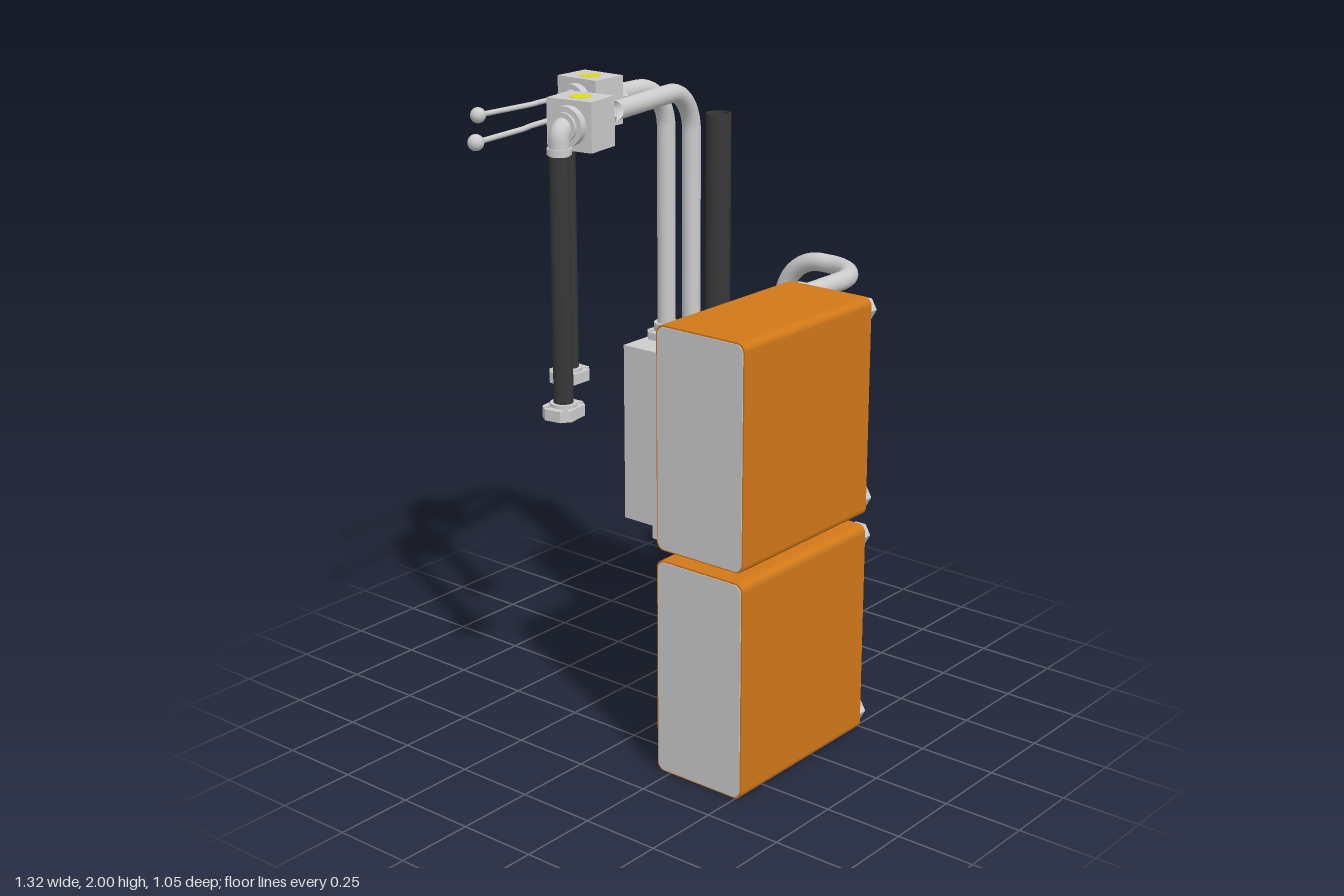
import * as THREE from 'three';

const V = (x, y, z) => new THREE.Vector3(x, y, z);
const X = V(1, 0, 0), Y = V(0, 1, 0), Z = V(0, 0, 1);
const mat = (color, extra = {}) => new THREE.MeshStandardMaterial({ color, ...extra });
const grey = mat(0xcccccc);
const greyFlat = mat(0xcccccc, { flatShading: true });
const greyOpen = mat(0xcccccc, { side: THREE.DoubleSide });
const orange = mat(0xd07818);
const black = mat(0x383838);
const yellow = mat(0xdddd10);

function add(parent, name, geo, material, pos = V(0, 0, 0)) {
  const m = new THREE.Mesh(geo, material);
  m.name = name;
  m.position.copy(pos);
  parent.add(m);
  return m;
}

function box(parent, name, size, pos) {
  return add(parent, name, new THREE.BoxGeometry(...size), grey, pos);
}

// Cylinder starting at pos and running h along dir
function rod(parent, name, r, h, pos, dir, sides = 32, material = sides < 9 ? greyFlat : grey) {
  const geo = new THREE.CylinderGeometry(r, r, h, sides).translate(0, h / 2, 0);
  const m = add(parent, name, geo, material, pos);
  m.quaternion.setFromUnitVectors(Y, dir);
  return m;
}

function extrude(shape, depth, curveSegments = 12) {
  return new THREE.ExtrudeGeometry(shape, { depth, bevelEnabled: false, curveSegments });
}

function hole(shape, x, y, r) {
  shape.holes.push(new THREE.Path().absarc(x, y, r, 0, Math.PI * 2, true));
}

function roundedRect(w, h, r) {
  const s = new THREE.Shape(), a = w / 2 - r, b = h / 2 - r;
  [[a, b], [-a, b], [-a, -b], [a, -b]].forEach(([x, y], i) =>
    s.absarc(x, y, r, i * Math.PI / 2, (i + 1) * Math.PI / 2, false));
  return s;
}

// Four-bolt flange with chamfered corners, facing dir, plus a round collar
function flange(parent, name, pos, dir, collar = 0.05, depth = 0.025) {
  const w = 0.062, h = 0.052, c = 0.025;
  const s = new THREE.Shape([[w, h - c], [w - c, h], [c - w, h], [-w, h - c],
    [-w, c - h], [c - w, -h], [w - c, -h], [w, c - h]].map(p => new THREE.Vector2(...p)));
  for (const i of [-1, 1]) for (const j of [-1, 1]) hole(s, i * 0.044, j * 0.032, 0.008);
  hole(s, 0, 0, 0.022);
  add(parent, name, extrude(s, depth), grey, pos).quaternion.setFromUnitVectors(Z, dir);
  const ring = new THREE.Shape().absarc(0, 0, 0.042, 0, Math.PI * 2, false);
  hole(ring, 0, 0, 0.022);
  add(parent, name + 'Collar', extrude(ring, collar, 20), grey, pos).quaternion.setFromUnitVectors(Z, dir);
}

// Tube through corner points, each corner rounded with its bend radius
function pipe(parent, name, pts, bends, r = 0.03) {
  const path = new THREE.CurvePath();
  let last = pts[0];
  for (let i = 1; i < pts.length - 1; i++) {
    const p = pts[i], b = bends[i - 1];
    const toPrev = pts[i - 1].clone().sub(p).normalize();
    const toNext = pts[i + 1].clone().sub(p).normalize();
    const at = (d, k) => p.clone().addScaledVector(d, k * b);
    path.add(new THREE.LineCurve3(last, at(toPrev, 1)));
    last = at(toNext, 1);
    path.add(new THREE.CubicBezierCurve3(at(toPrev, 1), at(toPrev, 0.45), at(toNext, 0.45), last));
  }
  path.add(new THREE.LineCurve3(last, pts.at(-1)));
  return add(parent, name, new THREE.TubeGeometry(path, 96, r, 20), greyOpen);
}

// Hollow upright hose
function hose(parent, name, r, h, pos) {
  const s = new THREE.Shape().absarc(0, 0, r, 0, Math.PI * 2, false);
  hole(s, 0, 0, r * 0.8);
  add(parent, name, extrude(s, h, 20), black, pos).quaternion.setFromUnitVectors(Z, Y);
}

// Block face plate with drilled ports
function drilledPlate(parent, name, w, h, holes, pos, dir) {
  const s = new THREE.Shape([[-w, -h], [w, -h], [w, h], [-w, h]].map(([a, b]) => new THREE.Vector2(a / 2, b / 2)));
  holes.forEach(q => hole(s, ...q));
  add(parent, name, extrude(s, 0.04), grey, pos).quaternion.setFromUnitVectors(Z, dir);
}

function heatExchanger(y0, h) {
  const g = new THREE.Group();
  g.name = 'heatExchanger';
  const yc = y0 + h / 2;
  const shell = (name, w, hh, x, len, m) =>
    add(g, name, extrude(roundedRect(w, hh, 0.025), len), m, V(x, yc, 0.36)).quaternion.setFromUnitVectors(Z, X);
  shell('casing', 0.32, h, -0.372, 0.61, orange);
  shell('rightEndPlate', 0.31, h - 0.01, 0.236, 0.005, grey);
  shell('leftEndPlate', 0.31, h - 0.01, -0.375, 0.005, grey);
  for (const y of [y0 + 0.046, y0 + h - 0.046]) {
    rod(g, 'plugNut', 0.037, 0.035, V(0.24, y, 0.477), X, 6);
    rod(g, 'plugCap', 0.028, 0.037, V(0.24, y, 0.477), X);
    rod(g, 'pipeNut', 0.042, 0.04, V(0.24, y, 0.243), X, 6);
  }
  return g;
}

// Ball valve on its own x axis, with elbow, hanging hose and lever
function valve(x, z, turn) {
  const g = new THREE.Group();
  g.name = 'ballValve';
  g.position.set(x, 1.925, z);
  g.rotation.y = turn;
  box(g, 'valveBody', [0.126, 0.15, 0.155], V(0, 0, 0));
  rod(g, 'valveLabel', 0.032, 0.002, V(0, 0.074, 0), Y, 32, yellow);
  // screwed ends
  rod(g, 'outletFlange', 0.055, 0.03, V(0.06, 0, 0), X);
  rod(g, 'outletNut', 0.05, 0.033, V(0.087, 0, 0), X, 6);
  rod(g, 'outletSleeve', 0.038, 0.03, V(0.108, 0, 0), X);
  rod(g, 'inletFlange', 0.06, 0.03, V(-0.09, 0, 0), X);
  rod(g, 'inletSleeve', 0.044, 0.015, V(-0.1, 0, 0), X);
  // elbow and hose
  pipe(g, 'elbow', [V(-0.08, 0, 0), V(-0.117, 0, 0), V(-0.117, -0.08, 0)], [0.033], 0.031);
  rod(g, 'hoseCollar', 0.037, 0.018, V(-0.117, -0.075, 0), Y);
  hose(g, 'hangingHose', 0.03, 0.8, V(-0.117, -0.87, 0));
  flange(g, 'hoseFlange', V(-0.117, -0.875, 0), Y, 0.045, 0.035);
  // lever
  box(g, 'leverStem', [0.04, 0.04, 0.03], V(0, 0, -0.088));
  rod(g, 'stemCap', 0.012, 0.02, V(0, 0, -0.09), V(0, 0, -1));
  pipe(g, 'lever', [V(0, 0, -0.092), V(-0.13, 0, -0.092), V(-0.17, 0, -0.085), V(-0.395, 0, -0.093)], [0.015, 0.015], 0.008);
  add(g, 'leverKnob', new THREE.SphereGeometry(0.024, 24, 16), grey, V(-0.397, 0, -0.093));
  return g;
}

function manifold() {
  const g = new THREE.Group();
  g.name = 'manifoldBlock';
  const cx = 0.4075, cy = 0.7775, cz = -0.237, w = 0.325, h = 0.605, d = 0.445, t = 0.04;
  box(g, 'blockCore', [w - t, h - t, d - 2 * t], V(cx - t / 2, cy - t / 2, cz));
  drilledPlate(g, 'frontFace', w, h, [[-0.047, -0.252, 0.037], [0.043, -0.252, 0.037]], V(cx, cy, cz + d / 2 - t), Z);
  const back = add(g, 'backFace', new THREE.BufferGeometry(), grey);
  g.remove(back);
  drilledPlate(g, 'backFace', w, h, [[0, 0.2, 0.035]], V(cx, cy, cz - d / 2), Z);
  drilledPlate(g, 'rightFace', d - 2 * t, h, [[0.168, -0.008, 0.03]], V(cx + w / 2 - t, cy, cz), X);
  drilledPlate(g, 'topFace', w - t, d - 2 * t, [[0.018, -0.147, 0.035]], V(cx - t / 2, cy + h / 2 - t, cz), Y);
  // foot flange under the block
  const foot = new THREE.Shape([[0.245, 0.34], [0.565, 0.34], [0.565, 0.25], [0.5, 0.13], [0.39, 0.13], [0.245, 0.22]]
    .map(p => new THREE.Vector2(...p)));
  hole(foot, 0.43, 0.22, 0.05);
  for (const x of [0.29, 0.52]) hole(foot, x, 0.305, 0.014);
  add(g, 'footFlange', extrude(foot, 0.047), grey, V(0, 0.43, 0)).quaternion.setFromUnitVectors(Z, Y);
  return g;
}

export function createModel() {
  const root = new THREE.Group();
  root.add(heatExchanger(0.005, 0.69), heatExchanger(0.727, 0.69), manifold());

  // Short pipes from the exchangers to the front of the block
  for (const y of [0.77, 0.651]) {
    pipe(root, 'frontPipe', [V(0.25, y, 0.243), V(0.49, y, 0.243), V(0.49, y, 0)], [0.15]);
    flange(root, 'frontPipeFlange', V(0.49, y, -0.015), Z, 0.055);
  }

  // Long pipes looping to the right side of the block
  for (const [y, yEnd, s] of [[1.371, 1.01, 1], [0.051, 0.9, -1]]) {
    pipe(root, 'sidePipe', [V(0.25, y, 0.243), V(0.615, y, 0.243), V(0.615, y, -0.087),
      V(0.615, yEnd, -0.087), V(0.57, yEnd, -0.087)], [0.15, 0.15, 0.035]);
    rod(root, 'sidePipeCollar', 0.04, 0.02, V(0.615, yEnd + s * 0.06 - 0.01, -0.087), Y);
    flange(root, 'sidePipeFlange', V(0.57, yEnd, -0.087), X, 0.03);
  }

  // Risers from the top of the block
  for (const z of [-0.41, -0.305, -0.195]) flange(root, 'riserFlange', V(0.405, 1.08, z), Y, 0.052);
  pipe(root, 'rearRiser', [V(0.405, 1.09, -0.41), V(0.405, 1.925, -0.41), V(0.12, 1.925, -0.41)], [0.14]);
  pipe(root, 'middleRiser', [V(0.405, 1.09, -0.305), V(0.405, 1.925, -0.305), V(-0.045, 1.925, -0.234)], [0.14]);
  hose(root, 'riserHose', 0.04, 0.76, V(0.405, 1.095, -0.195));

  root.add(valve(0.043, -0.41, 0), valve(-0.233, -0.202, 0.156));
  return root;
}
